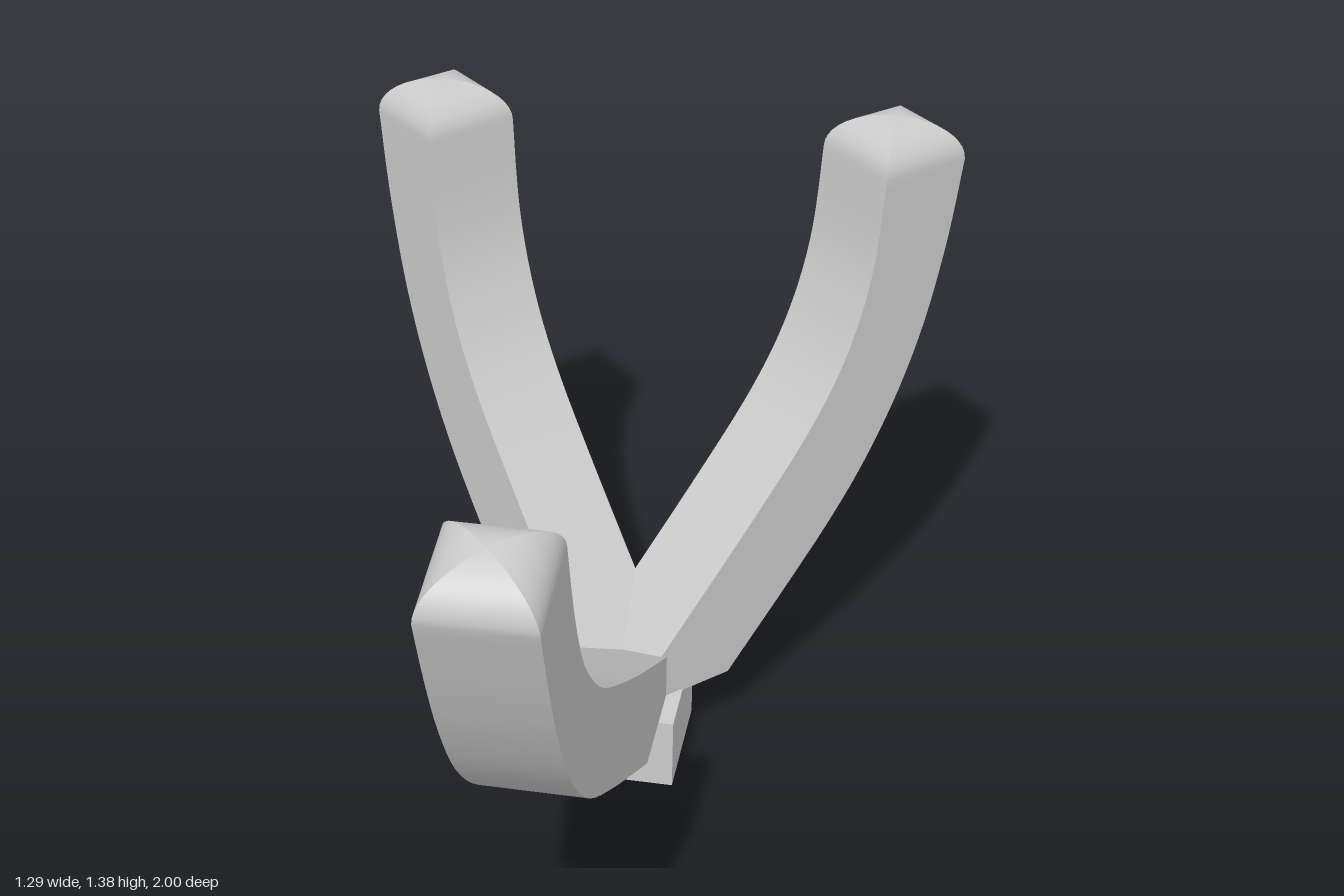
import * as THREE from 'three';

const HALF = 0.107;    // half width of each arm
const HUB_Z = -0.355;  // where the three arms meet
const DOME = 0.085;    // height of the rounded tip
const v2 = (list) => list.map(([r, y]) => new THREE.Vector2(r, y));

// Sweeps a square bar between an outer and an inner side profile (reach, height), with a domed tip
function armGeometry(outerPts, innerPts) {
  const outer = new THREE.SplineCurve(v2(outerPts));
  const inner = new THREE.SplineCurve(v2(innerPts));
  const rows = [];
  const addRow = (o, i, w) => rows.push([
    [w, o.y, o.x], [-w, o.y, o.x], [-w, i.y, i.x], [w, i.y, i.x],
  ]);

  // flat underside, then a repeated row to keep a sharp edge
  const o0 = outer.getPoint(0), i0 = inner.getPoint(0);
  addRow(o0, new THREE.Vector2(i0.x, o0.y), HALF);
  addRow(o0, i0, HALF);
  const steps = 28;
  for (let s = 0; s <= steps; s++) addRow(outer.getPoint(s / steps), inner.getPoint(s / steps), HALF);

  // domed tip: square sections shrinking along a quarter ellipse
  const oN = outer.getPoint(1), iN = inner.getPoint(1);
  const mid = oN.clone().add(iN).multiplyScalar(0.5);
  const half = oN.clone().sub(iN).multiplyScalar(0.5);
  const up = new THREE.Vector2(-half.y, half.x).normalize();
  for (let s = 1; s <= 10; s++) {
    const a = (s / 10) * Math.PI / 2, k = Math.cos(a);
    const c = mid.clone().addScaledVector(up, DOME * Math.sin(a));
    addRow(c.clone().addScaledVector(half, k), c.clone().addScaledVector(half, -k), HALF * k);
  }

  // four separate strips: smooth along the arm, sharp at its corners
  const pos = [], idx = [];
  for (let k = 0; k < 4; k++) {
    const base = pos.length / 3;
    rows.forEach((row) => pos.push(...row[k], ...row[(k + 1) % 4]));
    for (let r = 0; r < rows.length - 1; r++) {
      const a = base + r * 2;
      idx.push(a, a + 2, a + 1, a + 1, a + 2, a + 3);
    }
  }
  // underside
  const b = pos.length / 3;
  rows[0].forEach((p) => pos.push(...p));
  idx.push(b, b + 1, b + 2, b, b + 2, b + 3);

  const geo = new THREE.BufferGeometry();
  geo.setAttribute('position', new THREE.Float32BufferAttribute(pos, 3));
  geo.setIndex(idx);
  geo.computeVertexNormals();
  return geo;
}

export function createModel() {
  const group = new THREE.Group();
  const mat = new THREE.MeshStandardMaterial({ color: 0xcccccc });

  // square foot under the hub
  const base = new THREE.Mesh(new THREE.BoxGeometry(0.28, 0.174, 0.28), mat);
  base.name = 'base';
  base.position.set(0, 0.087, -0.35);
  group.add(base);

  const addArm = (name, geo, angle) => {
    const arm = new THREE.Mesh(geo, mat);
    arm.name = name;
    arm.position.z = HUB_Z;
    arm.rotation.y = angle;
    group.add(arm);
  };

  // long front arm
  addArm('frontArm', armGeometry(
    [[0.291, 0.175], [0.5, 0.309], [0.708, 0.444], [0.945, 0.612], [1.109, 0.78], [1.218, 0.952], [1.295, 1.12], [1.355, 1.278]],
    [[0, 0.255], [0.355, 0.47], [0.6, 0.626], [0.815, 0.775], [0.949, 0.905], [1.025, 1.01], [1.09, 1.155], [1.141, 1.316]],
  ), 0);

  // pair of steeper back arms
  const backGeo = armGeometry(
    [[0.217, 0.17], [0.482, 0.47], [0.618, 0.668], [0.712, 0.872], [0.771, 1.086], [0.805, 1.29]],
    [[0, 0.255], [0.276, 0.567], [0.427, 0.754], [0.515, 0.91], [0.569, 1.086], [0.591, 1.295]],
  );
  addArm('backArmLeft', backGeo, Math.PI * 0.75);
  addArm('backArmRight', backGeo, -Math.PI * 0.75);

  return group;
}
